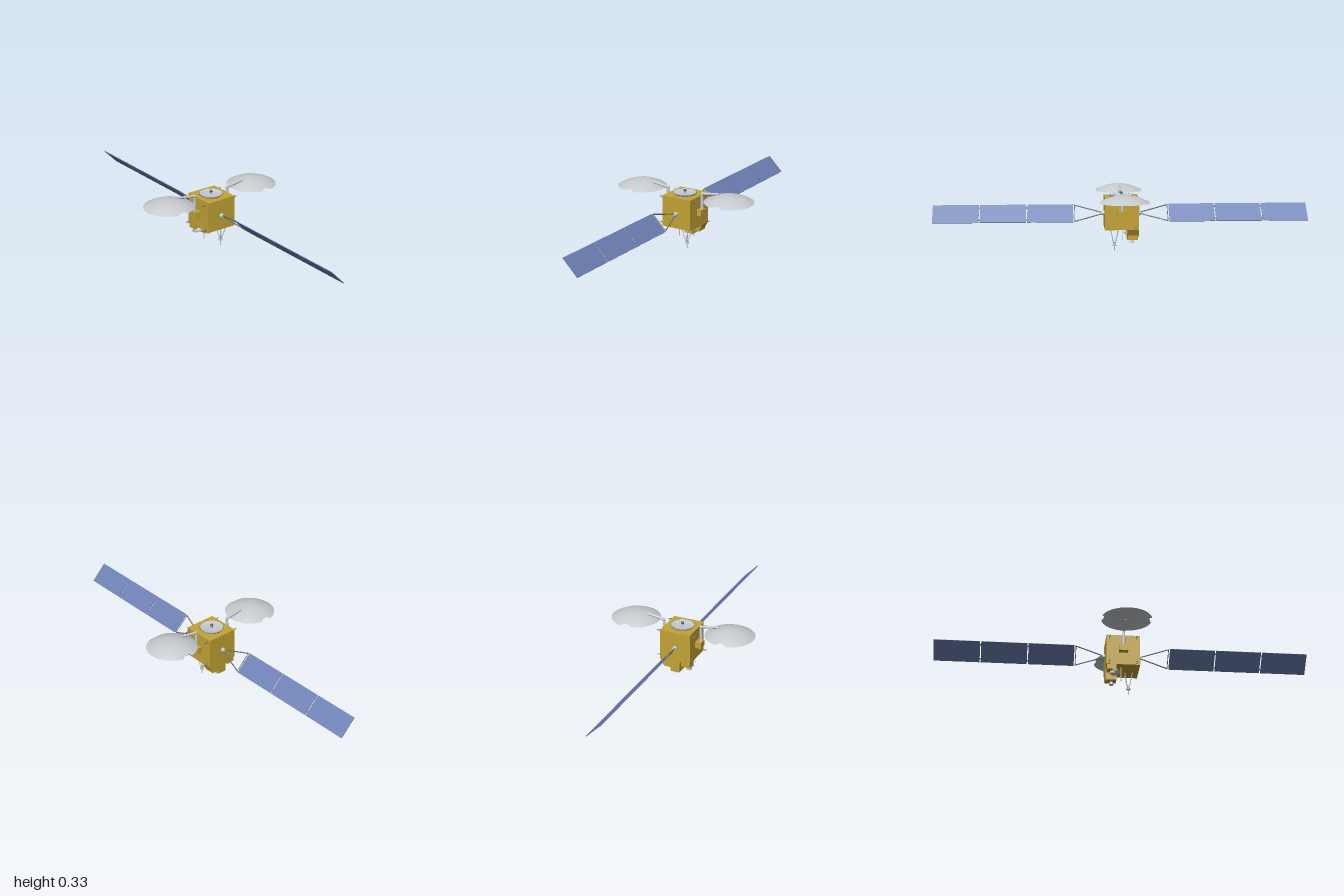
import * as THREE from 'three';

const mat = (name, color, side = THREE.FrontSide) => {
  const m = new THREE.MeshStandardMaterial({ color, side });
  m.name = name;
  return m;
};

export function createModel() {
  const gold = mat('gold foil', 0xc4a435);
  const grey = mat('light grey', 0xc6cacd, THREE.DoubleSide);
  const dark = mat('dark grey', 0x6c7074);
  const blue = mat('solar blue', 0x6d80b4);
  const model = new THREE.Group();
  model.name = 'satellite';

  const add = (name, geo, material, x = 0, y = 0, z = 0, parent = model) => {
    const m = new THREE.Mesh(geo, material);
    m.name = name;
    m.position.set(x, y, z);
    parent.add(m);
    return m;
  };
  const box = (name, w, h, d, material, x, y, z, parent) =>
    add(name, new THREE.BoxGeometry(w, h, d), material, x, y, z, parent);
  const cyl = (name, r1, r2, h, material, x, y, z, parent) =>
    add(name, new THREE.CylinderGeometry(r1, r2, h, 20), material, x, y, z, parent);
  // round bar between two points
  const rod = (name, a, b, r, material, parent = model, r2 = r, sides = 8) => {
    const p = new THREE.Vector3(...a), q = new THREE.Vector3(...b);
    const dir = q.clone().sub(p);
    const m = add(name, new THREE.CylinderGeometry(r2, r, dir.length(), sides), material, 0, 0, 0, parent);
    m.position.copy(p).add(q).multiplyScalar(0.5);
    m.quaternion.setFromUnitVectors(new THREE.Vector3(0, 1, 0), dir.normalize());
    return m;
  };

  // main bus
  box('body', 0.18, 0.17, 0.173, gold, 0, 0.205, -0.0035);

  // solar wings, tilted 45 degrees about x
  for (const s of [1, -1]) {
    const wing = new THREE.Group();
    wing.name = s > 0 ? 'leftWing' : 'rightWing';
    wing.position.set(0, 0.2, -0.002);
    wing.rotation.x = -Math.PI / 4;
    model.add(wing);
    for (let i = 0; i < 3; i++) {
      box('solarPanel', 0.244, 0.004, 0.118, blue, s * (0.375 + i * 0.25 + 0.003), 0, 0, wing);
      for (const z of [-0.04, 0.04])
        if (i) box('panelHinge', 0.012, 0.004, 0.006, dark, s * (0.25 + i * 0.25), 0, z, wing);
    }
    for (const t of [1, -1])
      rod('yokeArm', [s * 0.1, 0, t * 0.004], [s * 0.248, 0, t * 0.054], 0.003, dark, wing);
    rod('yokeBar', [s * 0.248, 0, -0.056], [s * 0.248, 0, 0.056], 0.002, dark, wing);
    rod('wingHub', [s * 0.088, 0, 0], [s * 0.106, 0, 0], 0.013, grey, wing, 0.01, 20);
  }

  // shallow domed reflector with a scallop cut on each side
  const R = 0.133, rings = 14, segs = 144, pos = [], idx = [];
  for (let i = 0; i <= rings; i++) for (let j = 0; j <= segs; j++) {
    const a = j / segs * Math.PI * 2;
    const t = R * Math.asin(Math.sin(a)) / 0.025;
    const edge = R - (Math.abs(t) < 1 ? 0.014 * Math.sqrt(1 - t * t) : 0);
    const r = edge * i / rings;
    pos.push(r * Math.cos(a), 0.328 - 0.038 * (r / R) ** 2, r * Math.sin(a));
    if (i < rings && j < segs) {
      const p = i * (segs + 1) + j, q = p + segs + 1;
      idx.push(p, p + 1, q, p + 1, q + 1, q);
    }
  }
  const dishGeo = new THREE.BufferGeometry();
  dishGeo.setAttribute('position', new THREE.Float32BufferAttribute(pos, 3));
  dishGeo.setIndex(idx);
  dishGeo.computeVertexNormals();

  // reflectors with their folding booms, front and back
  for (const s of [1, -1]) {
    const end = s > 0 ? 'front' : 'back';
    add(end + 'Reflector', dishGeo, grey, 0, 0, s * 0.272);
    box(end + 'BoomMount', 0.048, 0.034, 0.034, gold, 0, 0.205, s * 0.1);
    rod(end + 'BoomPost', [0, 0.2, s * 0.107], [0, 0.308, s * 0.107], 0.01, grey, model, 0.007, 16);
    add(end + 'BoomElbow', new THREE.SphereGeometry(0.0085, 16, 10), grey, 0, 0.307, s * 0.107);
    rod(end + 'BoomArm', [0, 0.307, s * 0.107], [0, 0.322, s * 0.21], 0.008, grey, model, 0.006, 16);
    // corner brackets
    const face = s > 0 ? 0.082 : -0.089;
    for (const x of [-0.072, 0.072]) for (const y of [0.276, 0.133])
      for (const d of [-0.007, 0.007])
        rod('bracket', [x, y + d, face], [x, y, face + s * 0.029], 0.0018, dark, model, 0.001, 6);
  }

  // top antenna
  const bowl = [[0, 0.291], [0.03, 0.292], [0.05, 0.295], [0.061, 0.299], [0.064, 0.299], [0.064, 0.295], [0.058, 0.289]];
  add('topDish', new THREE.LatheGeometry(bowl.map(p => new THREE.Vector2(...p)), 40), grey);
  const rim = add('topDishRim', new THREE.TorusGeometry(0.063, 0.0015, 6, 40), dark, 0, 0.298, 0);
  rim.rotation.x = Math.PI / 2;
  cyl('topFeed', 0.006, 0.006, 0.018, grey, 0, 0.3, 0);
  cyl('topFeedCap', 0.009, 0.007, 0.009, dark, 0, 0.308, 0);

  // equipment boxes under the body
  box('frontEquipmentBox', 0.05, 0.03, 0.05, gold, -0.06, 0.108, 0.055);
  box('dishMount', 0.026, 0.026, 0.026, gold, -0.05, 0.105, 0.043);
  box('middleEquipmentBox', 0.058, 0.064, 0.052, gold, -0.06, 0.089, -0.004);
  box('rearEquipmentBox', 0.058, 0.042, 0.042, gold, -0.06, 0.1, -0.051);
  const wedge = new THREE.Shape([[0, 0], [0.018, 0], [0, -0.032]].map(p => new THREE.Vector2(...p)));
  const brace = add('rearWedge', new THREE.ExtrudeGeometry(wedge, { depth: 0.058, bevelEnabled: false }), gold, -0.089, 0.121, -0.072);
  brace.rotation.y = Math.PI / 2;
  cyl('nozzle', 0.007, 0.013, 0.018, grey, -0.055, 0.05, -0.012);

  // small lower antenna
  const lens = [[0, 0.012], [0.02, 0.009], [0.034, 0.004], [0.042, -0.003], [0.03, -0.009], [0, -0.013]];
  const lower = add('lowerDish', new THREE.LatheGeometry(lens.map(p => new THREE.Vector2(...p)), 32), grey, -0.04, 0.09, 0.043);
  lower.scale.x = 0.6;
  rod('lowerDishFeed', [-0.008, 0.12, 0.04], [-0.008, 0.043, 0.04], 0.0025, grey);
  cyl('lowerSensor', 0.015, 0.015, 0.012, grey, -0.055, 0.078, 0.064);

  // tripod mast
  const mx = 0.038, mz = -0.037;
  for (let i = 0; i < 4; i++) {
    const a = Math.PI / 4 + i * Math.PI / 2;
    rod('mastLeg', [mx + 0.03 * Math.cos(a), 0.122, mz + 0.03 * Math.sin(a)],
      [mx + 0.004 * Math.cos(a), 0.032, mz + 0.004 * Math.sin(a)], 0.002, grey);
  }
  cyl('mastPlate', 0.011, 0.011, 0.006, grey, mx, 0.031, mz);
  cyl('mastCollar', 0.006, 0.006, 0.02, grey, mx, 0.04, mz);
  cyl('mastTip', 0.0028, 0.0028, 0.03, grey, mx, 0.015, mz);
  return model;
}
